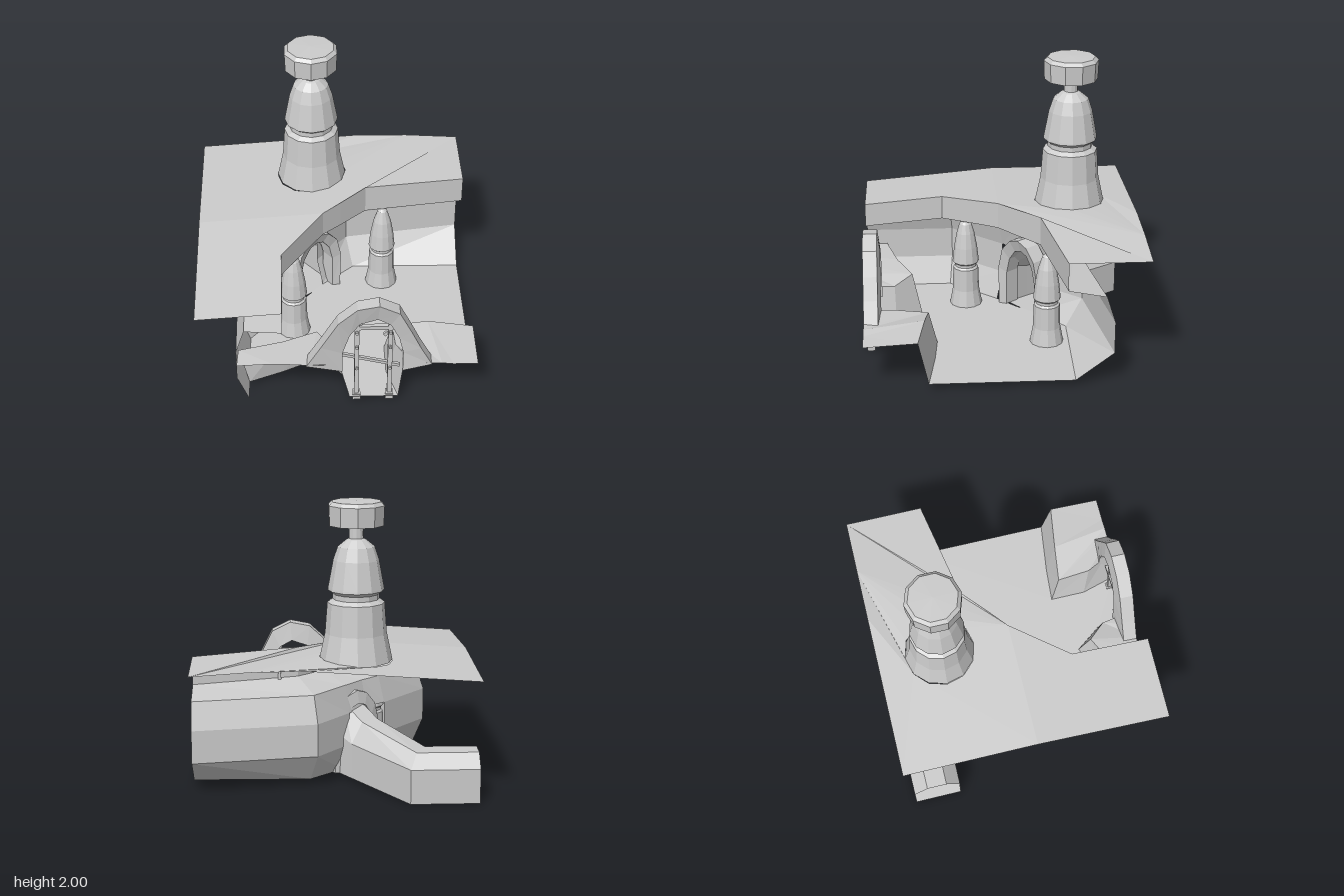
import * as THREE from 'three';

const material = new THREE.MeshStandardMaterial({ color: 0xcccccc, flatShading: true, side: THREE.DoubleSide });

function add(parent, name, geometry) {
  const mesh = new THREE.Mesh(geometry, material);
  mesh.name = name;
  parent.add(mesh);
  return mesh;
}

// Skin a surface over rows of [x, y, z] points; skip(i, j) leaves openings.
function loft(rows, closed = false, skip = () => false) {
  const pos = [];
  const n = rows[0].length;
  for (let i = 0; i < rows.length - 1; i++) {
    for (let j = 0; j < (closed ? n : n - 1); j++) {
      if (skip(i, j)) continue;
      const k = (j + 1) % n;
      const a = rows[i][j], b = rows[i][k], c = rows[i + 1][k], d = rows[i + 1][j];
      pos.push(...a, ...b, ...c, ...a, ...c, ...d);
    }
  }
  const g = new THREE.BufferGeometry();
  g.setAttribute('position', new THREE.Float32BufferAttribute(pos, 3));
  g.computeVertexNormals();
  return g;
}

// Flat ground from an [x, z] outline with round holes, heights set by a rule.
function ground(outline, holes, heightAt) {
  const shape = new THREE.Shape(outline.map(([x, z]) => new THREE.Vector2(x, -z)));
  for (const [x, z, r] of holes) shape.holes.push(new THREE.Path().absarc(x, -z, r, 0, Math.PI * 2, true));
  const g = new THREE.ShapeGeometry(shape, 6).rotateX(-Math.PI / 2);
  const p = g.attributes.position;
  for (let i = 0; i < p.count; i++) p.setY(i, heightAt(p.getX(i), p.getZ(i)));
  g.computeVertexNormals();
  return g;
}

// Rock arch: a four-sided section following an outer and an inner outline.
function arch(outer, inner, back, front) {
  return loft(outer.map(([x, y], i) => {
    const [u, v] = inner[i];
    return [[x, y, front], [x, y, back], [u, v, back - 0.02], [u, v, front - 0.03]];
  }), true);
}

const lathe = (points, sides) => new THREE.LatheGeometry(points.map(([r, y]) => new THREE.Vector2(r, y)), sides);

const plateHeight = (x, z) =>
  0.94 - 0.07 * Math.max(0, 0.2 - x) - 0.065 * Math.max(0, x - 0.5) - 0.09 * Math.max(0, z);

// Cliff edge: x, z, lip bottom height, outward x, outward z, foot offset
const cliff = [
  [0.97, -0.41, 0.71, 0, -1, 0.06],
  [0.24, -0.28, 0.73, -0.4, -1, 0.2],
  [0.05, -0.11, 0.73, -0.53, -0.66, 0.24],
  [-0.08, 0, 0.73, -0.52, -0.52, 0.24],
  [-0.17, 0.12, 0.72, -0.66, -0.53, 0.24],
  [-0.38, 0.4, 0.69, -1, -0.25, 0.24],
  [-0.38, 0.97, 0.64, -1, 0, 0.24],
];

// Bank cross-lines: foot on the floor, ridge, front edge
const leftBank = [
  [[-0.62, 0.04, 0.8], [-0.38, 0.04, 0.7], [-0.1, 0.04, 0.56], [0.04, 0.04, 0.75], [0.08, 0.04, 0.97]],
  [[-0.69, 0.36, 0.82], [-0.38, 0.36, 0.74], [-0.14, 0.35, 0.63], [-0.02, 0.31, 0.76], [0.0, 0.32, 0.9]],
  [[-0.7, 0.35, 0.97], [-0.45, 0.36, 0.97], [-0.3, 0.35, 0.97], [-0.2, 0.34, 0.97], [-0.1, 0.34, 0.97]],
];
const rightBank = [
  [[0.97, 0.04, 0.53], [0.6, 0.04, 0.48], [0.35, 0.04, 0.46], [0.35, 0.04, 0.72], [0.42, 0.04, 0.97]],
  [[0.97, 0.35, 0.6], [0.65, 0.36, 0.55], [0.4, 0.3, 0.52], [0.41, 0.33, 0.76], [0.47, 0.36, 0.9]],
  [[0.97, 0.33, 0.97], [0.8, 0.33, 0.97], [0.72, 0.34, 0.97], [0.67, 0.34, 0.97], [0.62, 0.34, 0.97]],
];

const spires = [[-0.3, 0.23], [0.37, -0.32]];

export function createModel() {
  const model = new THREE.Group();
  model.name = 'caveLandscape';

  // Upper ground
  const edge = cliff.map(([x, z]) => [x, z]);
  add(model, 'upperGround', ground(
    [[-0.97, 0.97], [-0.97, 0], [-0.97, -0.97], [0.2, -0.97], [0.58, -0.97], [0.97, -0.97], ...edge],
    [[-0.15, -0.52, 0.25]], plateHeight));

  // Cliff lip, ceiling and cave wall, open behind the inner arch
  const wallRows = cliff.map(([x, z, lip, nx, nz, foot]) => [
    [0, plateHeight(x, z)], [0, lip], [0.26, 0.66], [0.32, 0.47], [0.32, 0.24], [foot, 0.04],
  ].map(([o, y]) => [x + nx * o, y, z + nz * o]));
  add(model, 'caveWall', loft(wallRows, false, (i, j) => (i === 2 || i === 3) && j > 2));

  // Cave floor
  const flat = ([x, , z]) => [x, z];
  add(model, 'caveFloor', ground(
    [...wallRows.map((row) => flat(row[5])).slice(0, 6), ...leftBank[0].map(flat), ...rightBank[0].map(flat).reverse()],
    spires.map(([x, z]) => [x, z, 0.12]), () => 0.04));

  // Banks beside the entrance
  add(model, 'leftBank', loft(leftBank));
  add(model, 'rightBank', loft(rightBank));

  // Entrance arch
  add(model, 'entranceArch', arch(
    [[-0.22, 0.33], [-0.12, 0.5], [0, 0.71], [0.13, 0.83], [0.28, 0.86], [0.42, 0.79], [0.5, 0.63], [0.57, 0.48], [0.65, 0.33]],
    [[0.03, 0.25], [0.03, 0.42], [0.08, 0.58], [0.15, 0.68], [0.27, 0.72], [0.36, 0.67], [0.42, 0.55], [0.45, 0.42], [0.45, 0.25]],
    0.87, 0.97));

  // Wooden entrance frame
  const frame = new THREE.Group();
  frame.name = 'entranceFrame';
  model.add(frame);
  const beam = (name, a, b, w) => {
    const p = new THREE.Vector3(...a), q = new THREE.Vector3(...b);
    const m = add(frame, name, new THREE.BoxGeometry(w, p.distanceTo(q), w));
    m.position.copy(p).add(q).multiplyScalar(0.5);
    m.quaternion.setFromUnitVectors(new THREE.Vector3(0, 1, 0), q.sub(p).normalize());
  };
  for (const [x, top] of [[0.13, 0.7], [0.36, 0.66]]) {
    beam('post', [x, 0.01, 0.93], [x, top, 0.91], 0.032);
    beam('postFoot', [x, 0.0, 0.93], [x, 0.05, 0.93], 0.055);
    for (const y of [0.28, 0.47, 0.6]) {
      const peg = add(frame, 'peg', new THREE.CylinderGeometry(0.012, 0.012, 0.05, 6).rotateX(Math.PI / 2));
      peg.position.set(x, y, 0.925);
    }
  }
  beam('crossBeam', [0, 0.63, 0.91], [0.42, 0.63, 0.91], 0.03);
  beam('lowerRail', [0.02, 0.39, 0.91], [0.43, 0.28, 0.91], 0.022);
  beam('brace', [0.01, 0.52, 0.9], [0.16, 0.66, 0.9], 0.022);
  beam('brace', [0.32, 0.55, 0.9], [0.41, 0.66, 0.9], 0.022);

  // Inner arch at the mouth of the tunnel
  const half = [[0.2, 0.04], [0.21, 0.33], [0.17, 0.49], [0.09, 0.58]];
  const halfIn = [[0.15, 0.04], [0.15, 0.3], [0.12, 0.42], [0.06, 0.5]];
  const mirror = (h, mid) => [...h, mid, ...h.map(([x, y]) => [-x, y]).reverse()];
  const innerArch = add(model, 'innerArch', arch(mirror(half, [0, 0.61]), mirror(halfIn, [0, 0.52]), -0.06, 0.06));
  innerArch.position.set(-0.14, 0, -0.19);
  innerArch.rotation.y = 0.67;

  // Tunnel: centre x, z, across x, z, half width, floor, shoulder, roof
  const rings = [
    [-0.14, -0.19, 0.78, -0.62, 0.17, 0.04, 0.34, 0.52],
    [-0.26, -0.34, 0.78, -0.62, 0.17, 0.03, 0.28, 0.42],
    [-0.58, -0.75, 0.42, -0.91, 0.19, 0, 0.24, 0.33],
    [-0.97, -0.75, 0, -1, 0.17, 0, 0.24, 0.33],
  ];
  add(model, 'tunnel', loft(rings.map(([x, z, ax, az, w, f, s, r]) =>
    [[-1, f], [-1, s], [-0.42, r], [0.42, r], [1, s], [1, f]].map(([u, y]) => [x + ax * w * u, y, z + az * w * u])), true));

  // Rock spires on the cave floor
  spires.forEach(([x, z], i) => {
    const tip = i ? [[0.035, 0.7], [0.012, 0.72], [0.008, 0.78], [0, 0.78]] : [[0.045, 0.68], [0.03, 0.7], [0, 0.705]];
    const spire = add(model, 'rockSpire', lathe([[0.12, 0.04], [0.098, 0.16], [0.093, 0.33], [0.08, 0.345],
      [0.08, 0.365], [0.098, 0.38], [0.085, 0.5], [0.065, 0.61], ...tip], 12));
    spire.position.set(x, 0, z);
  });

  // Tower on the upper ground
  const tower = new THREE.Group();
  tower.name = 'tower';
  tower.position.set(-0.15, 0, -0.52);
  model.add(tower);
  add(tower, 'towerBody', lathe([[0.25, 0.91], [0.21, 1.1], [0.195, 1.31], [0.16, 1.335], [0.16, 1.37], [0.192, 1.395],
    [0.19, 1.41], [0.155, 1.6], [0.125, 1.69], [0.07, 1.735], [0.05, 1.745], [0.047, 1.84]], 12));
  add(tower, 'towerCap', lathe([[0, 1.84], [0.19, 1.835], [0.195, 1.97], [0.17, 1.995], [0, 2]], 10));

  return model;
}
